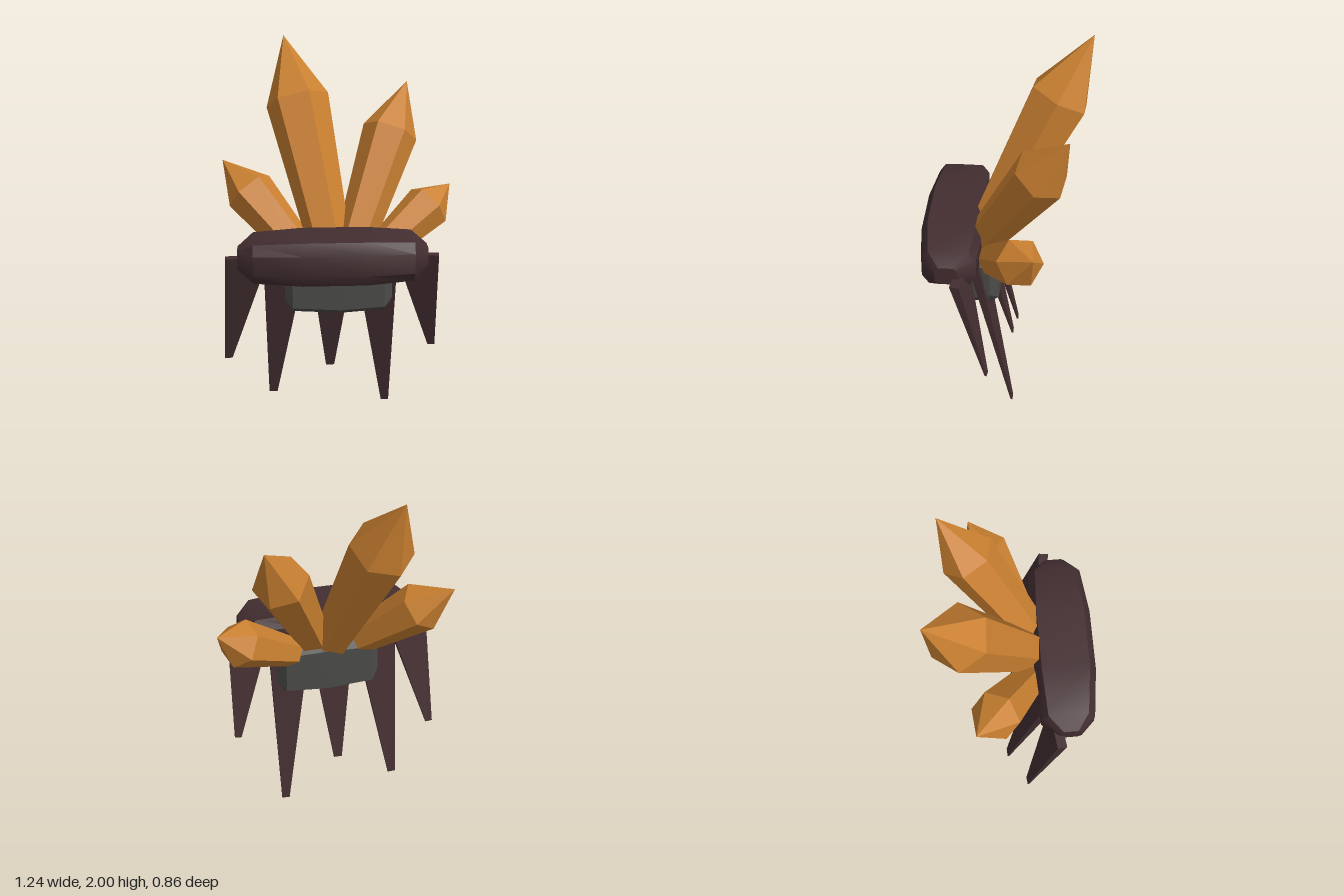
import * as THREE from 'three';
import { toCreasedNormals } from 'three/addons/utils/BufferGeometryUtils.js';

const V = (x, y, z) => new THREE.Vector3(x, y, z);

const mats = {
  shell: new THREE.MeshStandardMaterial({ name: 'dark shell', color: 0x432e31 }),
  belly: new THREE.MeshStandardMaterial({ name: 'grey stone', color: 0x4b4b49 }),
  crystal: new THREE.MeshStandardMaterial({ name: 'amber crystal', color: 0xca8031 }),
};

// Skins a row of rings and closes each end with a fan to an apex point.
function loft(rings, startApex, endApex, crease = 0.01) {
  const pos = [];
  const tri = (...pts) => pts.forEach((p) => pos.push(p.x, p.y, p.z));
  const n = rings[0].length;
  const mid = (ring) => ring.reduce((s, p) => s.add(p), V(0, 0, 0)).divideScalar(n);
  const first = rings[0], last = rings[rings.length - 1];
  const start = startApex || mid(first), end = endApex || mid(last);
  for (let i = 0; i < n; i++) {
    const j = (i + 1) % n;
    tri(first[j], first[i], start);
    for (let r = 0; r < rings.length - 1; r++) {
      const a = rings[r], b = rings[r + 1];
      tri(a[i], a[j], b[j]);
      tri(a[i], b[j], b[i]);
    }
    tri(last[i], last[j], end);
  }
  const geo = new THREE.BufferGeometry();
  geo.setAttribute('position', new THREE.Float32BufferAttribute(pos, 3));
  geo.computeVertexNormals();
  return toCreasedNormals(geo, crease);
}

// Chamfered rectangle in the y-z plane at a given x.
function section([x, y0, y1, z0, z1, cy, cz]) {
  return [
    [y1, z0 + cz], [y1, z1 - cz], [y1 - cy, z1], [y0 + cy, z1],
    [y0, z1 - cz], [y0, z0 + cz], [y0 + cy, z0], [y1 - cy, z0],
  ].map(([y, z]) => V(x, y, z));
}

// Six-sided crystal that widens to a shoulder and then comes to a point.
function crystal(base, shoulder, tip, corner, r0, r1) {
  const axis = tip.clone().sub(base).normalize();
  const u = corner.clone().addScaledVector(axis, -corner.dot(axis)).normalize();
  const v = axis.clone().cross(u);
  const ring = (c, r) => Array.from({ length: 6 }, (_, i) => {
    const a = (i * Math.PI) / 3;
    return c.clone().addScaledVector(u, r * Math.cos(a)).addScaledVector(v, r * Math.sin(a));
  });
  return loft([ring(base, r0), ring(shoulder, r1)], null, tip);
}

// Thin blade leg, tapering from a wide top to a narrow foot.
function leg(top, foot, topWidth, footWidth, turn) {
  const w = V(Math.cos(turn), 0, Math.sin(turn));
  const t = V(0, -1, 0).cross(w);
  const ring = (c, hw, ht) => [[1, -1], [1, 1], [-1, 1], [-1, -1]].map(([a, b]) =>
    c.clone().addScaledVector(w, a * hw).addScaledVector(t, b * ht));
  return loft([ring(top, topWidth / 2, 0.025), ring(foot, footWidth / 2, 0.005)]);
}

export function createModel() {
  const model = new THREE.Group();
  model.name = 'crystalCrawler';
  const add = (name, geo, mat) => {
    const mesh = new THREE.Mesh(geo, mat);
    mesh.name = name;
    model.add(mesh);
  };

  // Wide front shell: x, y range, z range, chamfer in y and z
  add('frontShell', loft([
    [-0.53, 0.93, 1.03, 0.21, 0.325, 0.02, 0.02],
    [-0.45, 0.875, 1.08, 0.12, 0.4, 0.05, 0.035],
    [-0.2, 0.865, 1.095, 0.108, 0.43, 0.06, 0.035],
    [0.13, 0.865, 1.095, 0.108, 0.43, 0.06, 0.035],
    [0.37, 0.875, 1.08, 0.12, 0.4, 0.05, 0.035],
    [0.445, 0.93, 1.03, 0.21, 0.325, 0.02, 0.02],
  ].map(section), null, null, 0.6), mats.shell);

  // Grey belly block under and behind the shell
  add('belly', loft([
    [-0.29, 0.71, 0.91, 0.06, 0.22, 0.02, 0.02],
    [-0.25, 0.66, 0.94, 0.015, 0.255, 0.03, 0.04],
    [0, 0.648, 0.95, 0.008, 0.265, 0.03, 0.04],
    [0.23, 0.66, 0.94, 0.015, 0.255, 0.03, 0.04],
    [0.27, 0.71, 0.91, 0.06, 0.22, 0.02, 0.02],
  ].map(section), null, null, 0.4), mats.belly);

  // Fan of crystals leaning back: base, shoulder, tip, corner direction, radii
  [
    ['tallCrystal', V(-0.04, 0.94, 0.1), V(-0.205, 1.68, -0.27), V(-0.273, 2, -0.433), V(0.165, 0.04, 0.01), 0.11, 0.17],
    ['middleCrystal', V(0.06, 0.94, 0.12), V(0.289, 1.515, -0.2), V(0.39, 1.762, -0.338), V(-0.139, 0.045, -0.03), 0.095, 0.148],
    ['smallRightCrystal', V(-0.2, 0.94, 0.08), V(-0.468, 1.22, -0.118), V(-0.612, 1.367, -0.222), V(0.08, 0.11, -0.075), 0.09, 0.135],
    ['smallLeftCrystal', V(0.19, 0.91, 0.065), V(0.495, 1.127, -0.113), V(0.617, 1.226, -0.183), V(-0.08, 0.1, -0.08), 0.08, 0.128],
  ].forEach(([name, ...args]) => add(name, crystal(...args), mats.crystal));

  // Five blade legs: top centre, foot centre, top width, foot width, turn
  [
    ['centreLeg', V(-0.04, 0.93, 0.12), V(-0.043, 0.23, -0.042), 0.24, 0.045, 0],
    ['backRightLeg', V(-0.285, 0.95, 0.14), V(-0.36, 0.07, -0.05), 0.23, 0.045, -0.05],
    ['backLeftLeg', V(0.19, 0.95, 0.14), V(0.265, 0, -0.06), 0.23, 0.042, 0.05],
    ['outerRightLeg', V(-0.483, 0.963, 0.205), V(-0.6, 0.323, 0.045), 0.225, 0.04, -0.12],
    ['outerLeftLeg', V(0.402, 0.963, 0.205), V(0.505, 0.385, 0.06), 0.225, 0.038, 0.12],
  ].forEach(([name, ...args]) => add(name, leg(...args), mats.shell));

  return model;
}
